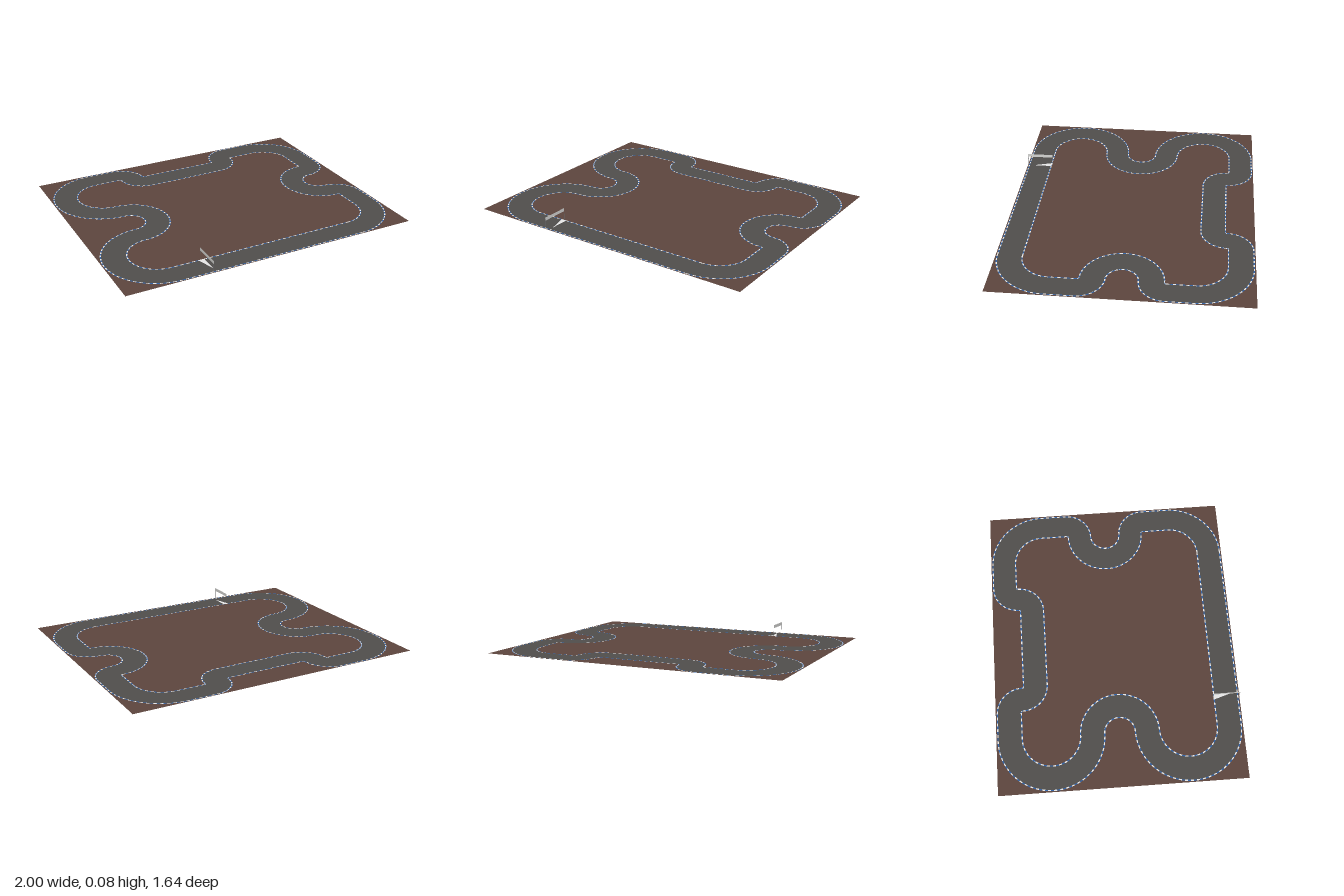
import * as THREE from 'three';

const U = 1 / 11;            // layout grid unit
const EDGE = 0.084;          // half width of track including kerbs
const LANE = 0.076;          // half width of asphalt

const mat = (name, color) =>
  Object.assign(new THREE.MeshStandardMaterial({ color, side: THREE.DoubleSide }), { name });

// Bends in driving order: centre x, centre z, radius (grid units), start and end angle (degrees).
// Straights join one bend to the next.
const BENDS = [
  [7, 5, 3, 90, 0], [9, 3, 1, 0, -90], [9, 0, 2, 90, 270], [9, -3, 1, 90, 0],
  [7, -5, 3, 0, -90], [5, -7, 1, 270, 180], [3, -7, 1, 0, 90],
  [-3, -7, 1, 90, 180], [-5, -7, 1, 0, -90], [-7, -5, 3, 270, 90],
  [-7, 0, 2, -90, 90], [-7, 5, 3, 270, 90],
];

// Station on a bend: centreline point plus the unit normal pointing out of the circuit
function bendStation([cx, cz, r, a0, a1], t) {
  const a = THREE.MathUtils.degToRad(a0 + (a1 - a0) * t);
  const s = a1 < a0 ? 1 : -1, c = Math.cos(a), d = Math.sin(a);
  return { x: (cx + r * c) * U, z: (cz + r * d) * U, nx: s * c, nz: s * d };
}

// Closed list of stations, evenly spaced along the line at the given offset
function stations(offset, step) {
  const list = [];
  BENDS.forEach((bend, i) => {
    const [, , r, a0, a1] = bend;
    const s = a1 < a0 ? 1 : -1;
    const sweep = THREE.MathUtils.degToRad(Math.abs(a1 - a0));
    const n = Math.max(3, Math.round((r * U + s * offset) * sweep / step));
    for (let k = 0; k < n; k++) list.push(bendStation(bend, k / n));
    // straight to the next bend
    const p = bendStation(bend, 1), q = bendStation(BENDS[(i + 1) % BENDS.length], 0);
    const length = Math.hypot(q.x - p.x, q.z - p.z);
    if (length < 1e-4) return;
    const m = Math.max(1, Math.round(length / step));
    for (let k = 0; k < m; k++) {
      const t = k / m;
      list.push({ ...p, x: p.x + (q.x - p.x) * t, z: p.z + (q.z - p.z) * t });
    }
  });
  return list;
}

// Flat ribbon between two offsets; keep(i) picks the pieces to build
function ribbon(list, inner, outer, keep = () => true) {
  const pos = [];
  const put = (s, d) => pos.push(s.x + s.nx * d, 0, s.z + s.nz * d);
  list.forEach((a, i) => {
    if (!keep(i)) return;
    const b = list[(i + 1) % list.length];
    put(a, inner); put(a, outer); put(b, inner);
    put(b, inner); put(a, outer); put(b, outer);
  });
  const g = new THREE.BufferGeometry();
  g.setAttribute('position', new THREE.Float32BufferAttribute(pos, 3));
  g.computeVertexNormals();
  return g;
}

const outline = (list, d) =>
  list.map(s => new THREE.Vector2(s.x + s.nx * d, -(s.z + s.nz * d)));

export function createModel() {
  const model = new THREE.Group();
  model.name = 'raceCircuit';
  const earth = mat('brown earth', 0x5d463e);
  const asphalt = mat('grey asphalt', 0x504e4c);
  const white = mat('white paint', 0xf0f0f0);
  const blue = mat('blue paint', 0x2f62a8);
  const banner = mat('pale grey gate', 0xd4d4d2);
  const steel = mat('dark grey post', 0x77777a);

  const add = (name, geometry, material, parent = model) => {
    const mesh = new THREE.Mesh(geometry, material);
    mesh.name = name;
    parent.add(mesh);
    return mesh;
  };

  // Ground, cut out where the track runs
  const outerList = stations(EDGE, 0.02), innerList = stations(-EDGE, 0.02);
  const field = new THREE.Shape([
    new THREE.Vector2(-1, -0.818), new THREE.Vector2(1, -0.818),
    new THREE.Vector2(1, 0.818), new THREE.Vector2(-1, 0.818),
  ]);
  field.holes.push(new THREE.Path(outline(outerList, EDGE)));
  const infield = new THREE.Shape(outline(innerList, -EDGE));
  add('outerGround', new THREE.ShapeGeometry(field).rotateX(-Math.PI / 2), earth);
  add('infield', new THREE.ShapeGeometry(infield).rotateX(-Math.PI / 2), earth);

  // Road surface
  add('road', ribbon(stations(0, 0.015), -LANE, LANE), asphalt);

  // Kerbs in alternating dashes along both edges
  for (const [name, list, a, b] of [
    ['outerKerb', outerList, LANE, EDGE], ['innerKerb', innerList, -EDGE, -LANE],
  ]) {
    add(name + 'White', ribbon(list, a, b, i => i % 2 === 0), white);
    add(name + 'Blue', ribbon(list, a, b, i => i % 2 === 1), blue);
  }

  // Tapered start marking on the road
  const mark = new THREE.Shape([
    new THREE.Vector2(-0.458, -0.645), new THREE.Vector2(-0.418, -0.775),
    new THREE.Vector2(-0.418, -0.645),
  ]);
  add('startMarking', new THREE.ShapeGeometry(mark).rotateX(-Math.PI / 2), white)
    .position.y = 0.001;

  // Start gate: paper-thin banner on two slim posts across the track
  const gate = new THREE.Group();
  gate.name = 'startGate';
  gate.position.set(-0.44, 0, 0.728);
  model.add(gate);
  const panel = (name, w, h, y, z, material) =>
    add(name, new THREE.PlaneGeometry(w, h).rotateY(Math.PI / 2), material, gate)
      .position.set(0, y, z);
  panel('gateBanner', 0.18, 0.022, 0.07, 0, banner);
  for (const s of [-1, 1]) panel('gatePost', 0.004, 0.06, 0.03, s * 0.088, steel);

  return model;
}
